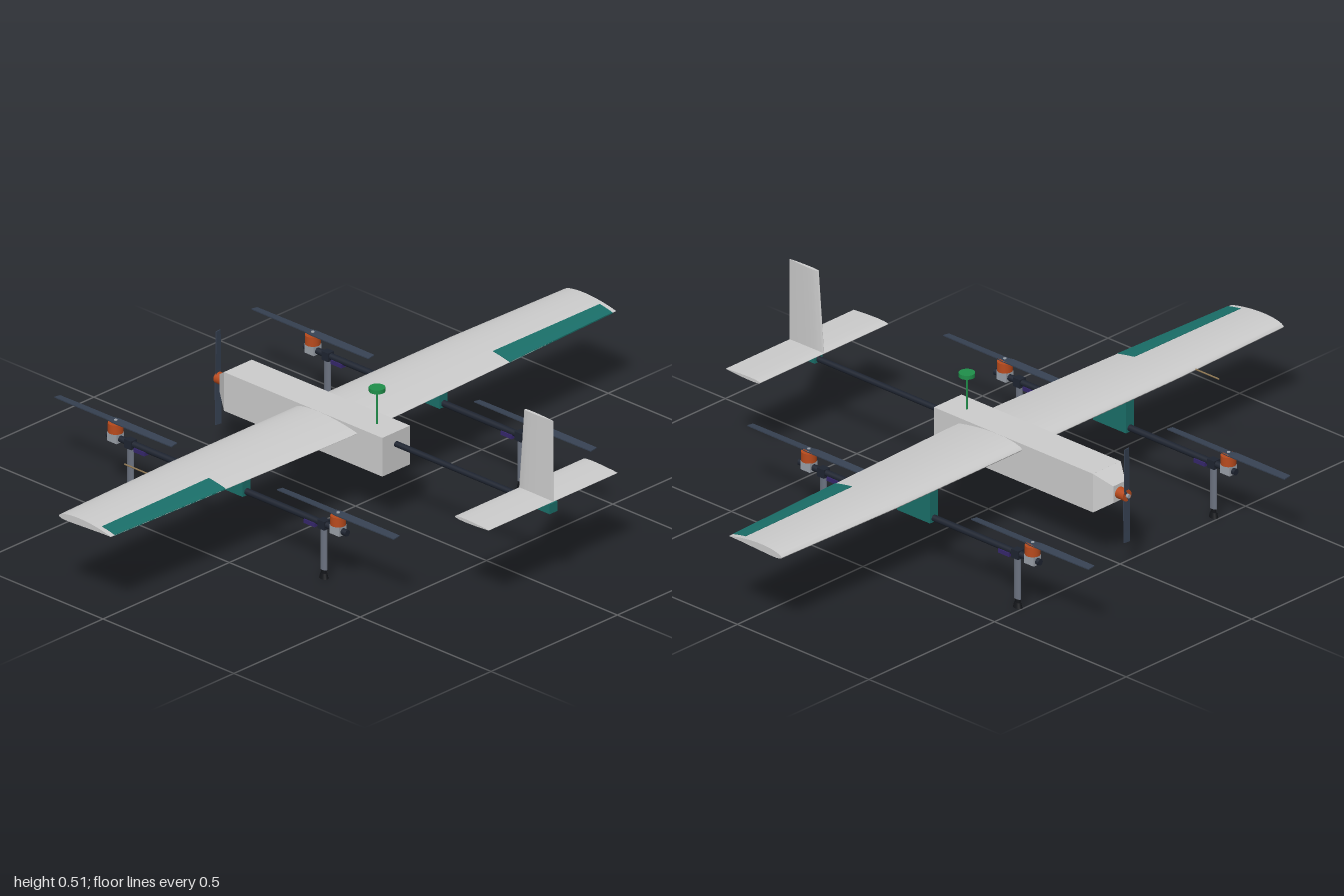
import * as THREE from 'three';
import { toCreasedNormals } from 'three/addons/utils/BufferGeometryUtils.js';

const mat = (color, flatShading = false) => new THREE.MeshStandardMaterial({ color, flatShading });
const GREY = mat(0xcccccc), GREY_FLAT = mat(0xcccccc, true), TEAL = mat(0x1a6f69), ORANGE = mat(0xb84a1c);
const CARBON = mat(0x1e2430), BLADE = mat(0x364152), GREEN = mat(0x1f8f4a), STRUT = mat(0x6b7280);
const BLACK = mat(0x14161a), PURPLE = mat(0x35266b), ALLOY = mat(0x9aa0a8), TAN = mat(0x8a7350);

function add(parent, name, geometry, material, x = 0, y = 0, z = 0) {
  const mesh = new THREE.Mesh(geometry, material);
  mesh.name = name;
  mesh.position.set(x, y, z);
  parent.add(mesh);
  return mesh;
}
const box = (w, h, d) => new THREE.BoxGeometry(w, h, d);
const rod = (r, h, n = 20, r2 = r) => new THREE.CylinderGeometry(r, r2, h, n);
const rodX = (r, h, n = 20) => rod(r, h, n).rotateZ(Math.PI / 2);

// Closed aerofoil outline between chord fractions t0 and t1, from rear over the top and back below.
function aerofoil({ lead, trail, y = 0, thick, camber = 0 }, t0 = 0, t1 = 1, swell = 0) {
  const n = 14, chord = trail - lead, points = [];
  for (let i = 0; i <= 2 * n + 1; i++) {
    const upper = i <= n;
    const k = upper ? i / n : (i - n - 1) / n;
    const s = upper ? (1 + Math.cos(k * Math.PI)) / 2 : (1 - Math.cos(k * Math.PI)) / 2;
    const t = t0 + (t1 - t0) * s;
    const half = 5 * thick * (0.2969 * Math.sqrt(t) - 0.126 * t - 0.3516 * t * t + 0.2843 * t ** 3 - 0.1015 * t ** 4);
    const mid = y + camber * 4 * t * (1 - t);
    points.push([lead + t * chord, mid + (upper ? 1 : -1) * (half + swell + 0.0004)]);
  }
  return points;
}

// Skin a list of { z, points } sections, in order of rising z, and cap both ends.
function loft(sections) {
  const n = sections[0].points.length, pos = [], index = [];
  sections.forEach(s => s.points.forEach(p => pos.push(p[0], p[1], s.z)));
  for (let i = 0; i < sections.length - 1; i++) {
    for (let j = 0; j < n; j++) {
      const a = i * n + j, b = i * n + (j + 1) % n;
      index.push(a, b, a + n, b, b + n, a + n);
    }
  }
  const end = (sections.length - 1) * n;
  for (let j = 1; j < n - 1; j++) {
    index.push(0, j + 1, j, end, end + j, end + j + 1);
  }
  const g = new THREE.BufferGeometry();
  g.setAttribute('position', new THREE.Float32BufferAttribute(pos, 3));
  g.setIndex(index);
  return toCreasedNormals(g, 0.6);
}

// Wing planform at a given distance from the centre.
function wingSection(z) {
  const d = Math.abs(z), lerp = THREE.MathUtils.lerp;
  const out = Math.max(0, (d - 0.56) / 0.44);
  const trail = d < 0.1 ? 0.06 : d < 0.56 ? lerp(0.06, 0.046, (d - 0.1) / 0.46) : lerp(0.046, 0.03, out);
  return { lead: lerp(-0.18, -0.168, out), trail, y: 0.26, thick: lerp(0.024, 0.021, out), camber: 0.006 };
}

// Thin two-bladed rotor lying along x, with pitched, tapering blades.
function rotor(length, width) {
  const g = new THREE.BoxGeometry(length, 0.003, width, 20, 1, 1);
  const p = g.attributes.position;
  for (let i = 0; i < p.count; i++) {
    const u = p.getX(i) / (length / 2);
    p.setY(i, p.getY(i) - Math.sign(u) * p.getZ(i) * 0.12);
    p.setZ(i, p.getZ(i) * (1 - 0.12 * u * u));
  }
  g.computeVertexNormals();
  return g;
}

function liftBoom(z) {
  const g = new THREE.Group();
  g.name = 'liftBoom';
  g.position.z = z;
  add(g, 'boomTube', rodX(0.0095, 0.915), CARBON, -0.112, 0.166);
  add(g, 'wingPylon', box(0.125, 0.1, 0.032), TEAL, -0.1025, 0.204);
  for (const [x, legX, escX] of [[-0.54, -0.483, -0.44], [0.31, 0.255, 0.21]]) {
    add(g, 'motorMount', box(0.036, 0.028, 0.03), ALLOY, x, 0.168);
    add(g, 'liftMotor', rod(0.022, 0.028, 24), ORANGE, x, 0.196);
    add(g, 'motorShaft', rod(0.005, 0.012, 12), ALLOY, x, 0.213);
    add(g, 'liftRotor', rotor(0.447, 0.026), BLADE, x, 0.215);
    add(g, 'speedController', box(0.042, 0.012, 0.024), PURPLE, escX, 0.156);
    // landing leg
    add(g, 'legClamp', box(0.026, 0.026, 0.024), CARBON, legX, 0.165);
    add(g, 'legStrut', rod(0.012, 0.126).scale(1, 1, 0.55), STRUT, legX, 0.09);
    add(g, 'legPin', rod(0.0085, 0.02).scale(1, 1, 0.7), BLACK, legX, 0.022);
    add(g, 'foot', rod(0.011, 0.016, 20, 0.015).scale(1, 1, 0.7), BLACK, legX, 0.008);
  }
  return g;
}

export function createModel() {
  const model = new THREE.Group();
  model.name = 'fixedWingDrone';

  // Fuselage with tapered nose and belly panel
  add(model, 'fuselage', box(0.605, 0.118, 0.11), GREY_FLAT, -0.1475, 0.219);
  const nose = new THREE.CylinderGeometry(0.024 * Math.SQRT2, 0.055 * Math.SQRT2, 0.047, 4);
  nose.rotateY(Math.PI / 4).rotateZ(Math.PI / 2).scale(1, 1.07, 1);
  add(model, 'nose', nose, GREY_FLAT, -0.4735, 0.219);
  add(model, 'bellyPanel', box(0.085, 0.008, 0.06), CARBON, -0.1, 0.157);

  // Nose motor and propeller
  add(model, 'noseMotor', rodX(0.017, 0.036, 24), ORANGE, -0.509, 0.218);
  add(model, 'propellerHub', rodX(0.006, 0.014, 12), ALLOY, -0.528, 0.218);
  add(model, 'propeller', rotor(0.285, 0.022).rotateZ(Math.PI / 2), BLADE, -0.525, 0.218);

  // Wing in one piece, with an aileron at each tip
  const stations = [-1, -0.56, -0.1, 0.1, 0.56, 1];
  add(model, 'wing', loft(stations.map(z => ({ z, points: aerofoil(wingSection(z)) }))), GREY);
  for (const side of [-1, 1]) {
    const zs = [0.562, 0.985].map(z => z * side).sort((a, b) => a - b);
    const flap = zs.map(z => {
      const s = wingSection(z);
      return { z, points: aerofoil(s, (-0.018 - s.lead) / (s.trail - s.lead), 1, 0.0012) };
    });
    add(model, 'aileron', loft(flap), TEAL);
    model.add(liftBoom(side * 0.39));
  }
  add(model, 'airspeedProbe', rodX(0.0025, 0.11, 10), TAN, -0.21, 0.26, 0.64);

  // Mast antenna
  add(model, 'antennaMast', rod(0.003, 0.105, 12), GREEN, 0.082, 0.329);
  add(model, 'antennaDisc', rod(0.023, 0.012, 28), GREEN, 0.082, 0.384);

  // Tail boom, tailplane and fin
  add(model, 'tailBoom', rodX(0.0085, 0.51), CARBON, 0.4, 0.241);
  add(model, 'tailMount', box(0.11, 0.03, 0.03), TEAL, 0.701, 0.246);
  const tail = { lead: 0.625, trail: 0.755, y: 0.264, thick: 0.009 };
  add(model, 'tailplane', loft([-0.255, 0.255].map(z => ({ z, points: aerofoil(tail) }))), GREY);
  const fin = loft([
    { z: 0.264, points: aerofoil({ lead: 0.625, trail: 0.755, thick: 0.011 }) },
    { z: 0.51, points: aerofoil({ lead: 0.645, trail: 0.755, thick: 0.009 }) },
  ]).rotateX(-Math.PI / 2);
  add(model, 'fin', fin, GREY);

  return model;
}
